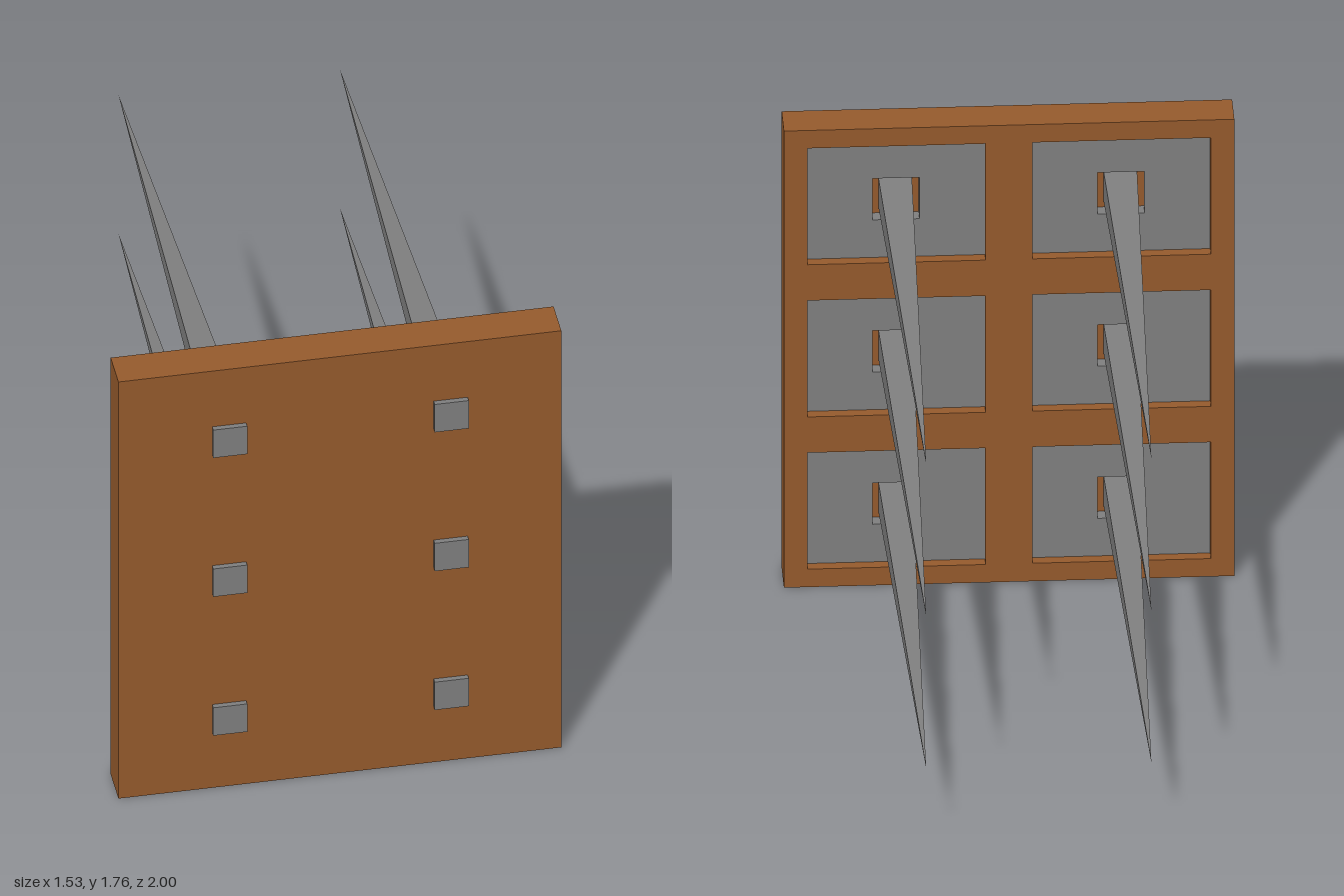
import * as THREE from 'three';

const W = 1.53, H = 1.765;          // board size
const CELL_W = 0.605, CELL_H = 0.45; // recess opening

// Rectangle centred on (x, y), added to a Shape or Path
function rect(path, x, y, w, h) {
  path.moveTo(x - w / 2, y - h / 2);
  path.lineTo(x + w / 2, y - h / 2);
  path.lineTo(x + w / 2, y + h / 2);
  path.lineTo(x - w / 2, y + h / 2);
  path.closePath();
  return path;
}

// Flat slab with rectangular holes between two depths
function slab(outer, holes, z0, z1) {
  outer.holes = holes;
  return new THREE.ExtrudeGeometry(outer, { depth: z1 - z0, bevelEnabled: false }).translate(0, 0, z0);
}

export function createModel() {
  const wood = new THREE.MeshStandardMaterial({ color: 0x965b2d });
  wood.name = 'brownWood';
  const metal = new THREE.MeshStandardMaterial({ color: 0x808080 });
  metal.name = 'greyMetal';

  const model = new THREE.Group();
  model.name = 'spikedBoard';
  const add = (name, geometry, material, parent = model) => {
    const mesh = new THREE.Mesh(geometry, material);
    mesh.name = name;
    parent.add(mesh);
    return mesh;
  };

  // Two columns by three rows of cells
  const cells = [];
  for (const x of [-W / 4, W / 4]) {
    for (let row = 0; row < 3; row++) cells.push([x, (row + 0.5) * H / 3]);
  }

  // Solid front panel and the recessed lattice behind it
  add('frontPanel', new THREE.BoxGeometry(W, H, 0.05).translate(0, H / 2, 0.955), wood);
  const openings = cells.map(([x, y]) => rect(new THREE.Path(), x, y, CELL_W, CELL_H));
  add('backFrame', slab(rect(new THREE.Shape(), 0, H / 2, W, H), openings, 0.84, 0.93), wood);

  // Metal plate with a square socket, and a four-sided spike driven through the board
  const plate = slab(rect(new THREE.Shape(), 0, 0, CELL_W, CELL_H),
    [rect(new THREE.Path(), 0, 0, 0.16, 0.16)], 0.88, 0.93);
  const spike = new THREE.ConeGeometry(0.059 * Math.SQRT2, 2, 4).toNonIndexed();
  spike.rotateY(Math.PI / 4).rotateX(-Math.PI / 2);
  spike.computeVertexNormals();

  for (const [x, y] of cells) {
    const unit = new THREE.Group();
    unit.name = 'spikeUnit';
    unit.position.set(x, y, 0);
    add('socketPlate', plate, metal, unit);
    add('spike', spike, metal, unit);
    model.add(unit);
  }
  return model;
}
